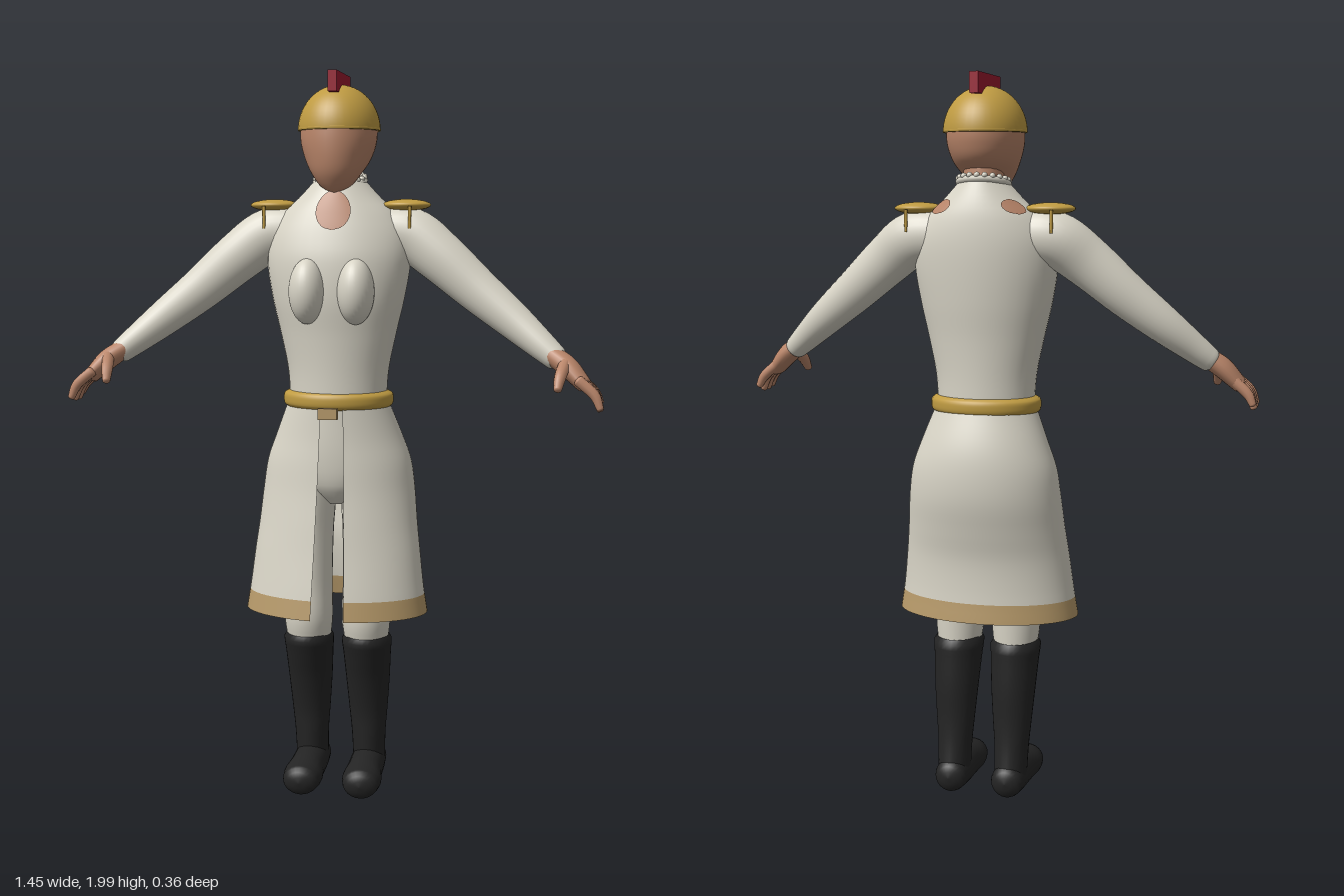
import * as THREE from 'three';

const mat = (name, color, side = THREE.DoubleSide) => {
  const m = new THREE.MeshStandardMaterial({ color, side });
  m.name = name;
  return m;
};

// Skin a list of point rings; each ring is an array of Vector3
function skin(rings, closed) {
  const n = rings[0].length, index = [];
  for (let i = 0; i < rings.length - 1; i++) {
    for (let j = 0; j < (closed ? n : n - 1); j++) {
      const a = i * n + j, b = i * n + (j + 1) % n;
      index.push(a, b, b + n, a, b + n, a + n);
    }
  }
  const geo = new THREE.BufferGeometry().setFromPoints(rings.flat());
  geo.setIndex(index);
  geo.computeVertexNormals();
  return geo;
}

// Smoothly read a profile of rows [y, halfWidth, frontZ, backZ] at height y
function profile(rows, y) {
  let i = 0;
  while (i < rows.length - 2 && y > rows[i + 1][0]) i++;
  const p = rows[i], q = rows[i + 1], h = q[0] - p[0], t = (y - p[0]) / h;
  const slope = (k, c) => {
    const a = rows[Math.max(k - 1, 0)], b = rows[Math.min(k + 1, rows.length - 1)];
    return (b[c] - a[c]) / (b[0] - a[0]) * h;
  };
  return [1, 2, 3].map(c =>
    p[c] * (2 * t ** 3 - 3 * t * t + 1) + q[c] * (3 * t * t - 2 * t ** 3) +
    slope(i, c) * (t ** 3 - 2 * t * t + t) + slope(i + 1, c) * (t ** 3 - t * t));
}

// Stack elliptical rings from y0 to y1; arc(y, halfWidth) may limit the angles
function loft(rows, { y0 = rows[0][0], y1 = rows[rows.length - 1][0], steps = 28, n = 40, cx = 0, arc, grow = 0 } = {}) {
  const rings = [];
  for (let i = 0; i <= steps; i++) {
    const y = y0 + (y1 - y0) * i / steps;
    const [rx, f, b] = profile(rows, y);
    const [a0, a1] = arc ? arc(y, rx) : [0, Math.PI * 2];
    rings.push(Array.from({ length: arc ? n + 1 : n }, (_, j) => {
      const a = a0 + (a1 - a0) * j / n;
      return new THREE.Vector3(cx + (rx + grow) * Math.sin(a), y, (f + b) / 2 + ((f - b) / 2 + grow) * Math.cos(a));
    }));
  }
  return skin(rings, !arc);
}

// Rounded limb through rows [x, y, z, radiusA, radiusB]; radiusB lies along ref
function limb(rows, ref, steps = 20, n = 20) {
  const path = new THREE.CatmullRomCurve3(rows.map(r => new THREE.Vector3(r[0], r[1], r[2])), false, 'catmullrom');
  const size = new THREE.CatmullRomCurve3(rows.map(r => new THREE.Vector3(r[3], r[4], 0)), false, 'catmullrom');
  const rings = [];
  const ring = (t, k, push) => {
    const T = path.getTangent(t), c = path.getPoint(t), s = size.getPoint(t);
    const U = new THREE.Vector3().crossVectors(T, ref).normalize();
    const V = new THREE.Vector3().crossVectors(U, T);
    c.addScaledVector(T, push * Math.min(s.x, s.y));
    rings.push(Array.from({ length: n }, (_, j) => {
      const a = j / n * Math.PI * 2;
      return c.clone().addScaledVector(U, s.x * k * Math.sin(a)).addScaledVector(V, s.y * k * Math.cos(a));
    }));
  };
  for (const a of [0, 0.4, 0.8, 1.2]) ring(0, Math.sin(a), -0.6 * Math.cos(a));
  for (let i = 0; i <= steps; i++) ring(i / steps, 1, 0);
  for (const a of [1.2, 0.8, 0.4, 0]) ring(1, Math.sin(a), 0.6 * Math.cos(a));
  return skin(rings, true);
}

export function createModel() {
  const model = new THREE.Group();
  model.name = 'uniformedFigure';
  const white = mat('coatWhite', 0xd8d4c6), skinTone = mat('skin', 0xb98569), gold = mat('gold', 0xbf9b42);
  const tan = mat('trimTan', 0xb79a6a), black = mat('bootBlack', 0x242424), red = mat('crestRed', 0x9c1a2f);
  const X = new THREE.Vector3(1, 0, 0), Y = new THREE.Vector3(0, 1, 0), Z = new THREE.Vector3(0, 0, 1);
  const add = (name, geo, material, pos = [0, 0, 0], scale = [1, 1, 1]) => {
    const m = new THREE.Mesh(geo, material);
    m.name = name;
    m.position.set(...pos);
    m.scale.set(...scale);
    model.add(m);
    return m;
  };
  const ball = new THREE.SphereGeometry(1, 32, 20);

  // Coat body
  const torso = [[1.1, .134, .083, -.135], [1.2, .14, .084, -.135], [1.3, .16, .09, -.14], [1.4, .183, .1, -.15],
    [1.5, .198, .095, -.156], [1.57, .19, .078, -.156], [1.63, .155, .058, -.15], [1.67, .113, .042, -.14], [1.72, .066, .018, -.122]];
  add('coatBody', loft(torso, { steps: 36 }), white);

  // Neckline opening and bare patches behind the shoulders
  add('neckOpening', loft(torso, { y0: 1.583, y1: 1.69, steps: 20, n: 16, grow: .004, arc: (y, rx) => {
    const t = (y - 1.583) / .107;
    const a = Math.asin(Math.min(1, .068 * Math.sqrt(t) * (1 - t) ** .6 * 1.45 / rx));
    return [-a, a];
  } }), skinTone);
  for (const s of [1, -1]) {
    add('shoulderOpening', loft(torso, { y0: 1.635, y1: 1.675, steps: 10, n: 10, grow: .004, arc: y => {
      const w = .28 * Math.sqrt(Math.max(0, 1 - ((y - 1.655) / .02) ** 2)), c = Math.PI - s * .85;
      return [c - w, c + w];
    } }), skinTone);
  }

  // Collar with a small frill
  const collar = add('collar', new THREE.TorusGeometry(.067, .009, 10, 40), white, [0, 1.715, -.052]);
  collar.rotation.x = Math.PI / 2 + .2;
  for (let i = 0; i < 20; i++) {
    const a = i / 20 * Math.PI * 2, z = Math.cos(a) * .067;
    add('collarFrill', ball, white, [Math.sin(a) * .067, 1.724 - z * .2, -.052 + z], [.008, .008, .008]);
  }

  // Skirt of the coat, open at the front, with a hem band
  const skirt = [[.53, .256, .16, -.16], [.6, .245, .148, -.152], [.7, .233, .13, -.153], [.78, .223, .118, -.168],
    [.87, .214, .105, -.185], [.95, .202, .097, -.186], [1.02, .177, .09, -.175], [1.12, .138, .085, -.142]];
  const gap = (y, rx) => {
    const a = Math.asin((.03 + .016 * (1.12 - y) / .59) / rx);
    return [a, Math.PI * 2 - a];
  };
  add('coatSkirt', loft(skirt, { y0: .583, arc: gap, n: 56 }), white);
  add('skirtHem', loft(skirt, { y1: .583, arc: gap, n: 56, steps: 4 }), tan);

  // Belt and buckle
  add('belt', loft([[1.098, .138, .082, -.138], [1.106, .15, .091, -.147], [1.122, .153, .094, -.15],
    [1.138, .15, .091, -.147], [1.146, .136, .08, -.136]], { steps: 12, n: 48 }), gold);
  add('buckle', new THREE.BoxGeometry(.052, .03, .015), tan, [0, 1.097, .137]);

  // Trouser seat
  add('trouserSeat', loft([[.83, .03, .02, -.06], [.87, .1, .055, -.1], [.95, .15, .07, -.13], [1.1, .125, .07, -.125]], { steps: 14 }), white);

  // Head, neck, helmet and crest
  add('neck', limb([[0, 1.63, -.055, .05, .05], [0, 1.72, -.052, .054, .054], [0, 1.82, -.035, .06, .06]], Z), skinTone);
  add('head', loft([[1.682, .006, .04, .025], [1.695, .036, .052, -.015], [1.73, .065, .072, -.06], [1.77, .088, .081, -.122],
    [1.82, .103, .083, -.145], [1.88, .104, .078, -.148]], { steps: 24 }), skinTone);
  add('helmet', new THREE.SphereGeometry(1, 40, 16, 0, Math.PI * 2, 0, Math.PI / 2), gold, [0, 1.848, -.037], [.112, .122, .123]);
  const rim = add('helmetRim', new THREE.TorusGeometry(1, .04, 8, 40), gold, [0, 1.852, -.037], [.108, .119, .119]);
  rim.rotation.x = Math.PI / 2;
  add('crest', new THREE.BoxGeometry(.024, .055, .215), red, [0, 1.9725, -.037]);

  for (const s of [1, -1]) {
    const sided = rows => rows.map(([x, ...rest]) => [x * s, ...rest]);

    // Chest, sleeve and epaulet
    add('chest', ball, white, [.066 * s, 1.42, .082], [.05, .088, .06]);
    add('sleeve', limb(sided([[.12, 1.575, -.05, .07, .062], [.2, 1.567, -.047, .074, .064], [.28, 1.51, -.028, .069, .056],
      [.38, 1.425, -.012, .06, .051], [.48, 1.345, .012, .05, .047], [.56, 1.28, .044, .039, .039], [.597, 1.25, .06, .033, .034]]), Z, 32, 28), white);
    add('epaulet', ball, gold, [.183 * s, 1.65, -.05], [.067, .016, .06]);
    for (const z of [-.112, .012]) {
      add('epauletCord', new THREE.CylinderGeometry(.005, .004, .06, 8), gold, [.2 * s, 1.617, z]);
    }

    // Hand with fingers and thumb
    add('palm', limb(sided([[.585, 1.26, .06, .026, .03], [.63, 1.228, .078, .028, .042], [.672, 1.185, .096, .021, .046]]), Z), skinTone);
    for (let i = 0; i < 4; i++) {
      const z0 = .061 + i * .024, z1 = .055 + i * .029, drop = [.012, 0, 0, .006][i];
      add('finger', limb(sided([[.66, 1.198, z0, .015, .014], [.7, 1.163, (z0 + z1) / 2, .014, .013],
        [.716, 1.122 + drop, z1, .01, .01]]), Z, 10, 10), skinTone);
    }
    add('thumb', limb(sided([[.622, 1.238, .1, .017, .017], [.612, 1.208, .142, .016, .016], [.607, 1.178, .165, .011, .011]]), X, 10, 10), skinTone);

    // Trouser leg
    add('trouserLeg', loft([[.43, .06, .05, -.08], [.5, .068, .065, -.082], [.6, .066, .06, -.085], [.75, .068, .058, -.1],
      [.84, .073, .06, -.115], [.95, .07, .06, -.12]], { cx: .082 * s, n: 28 }), white);

    // Boot shaft and foot
    add('bootShaft', loft([[.05, .045, -.01, -.13], [.15, .048, -.005, -.112], [.22, .054, .0, -.106], [.32, .062, .024, -.106],
      [.4, .067, .052, -.102], [.45, .07, .068, -.098], [.456, .062, .06, -.09]], { cx: .083 * s, n: 28 }), black);
    add('bootFoot', limb(sided([[.082, .064, -.108, .045, .046], [.082, .064, -.05, .049, .052], [.083, .06, .02, .05, .051],
      [.084, .057, .07, .055, .046], [.085, .055, .106, .05, .042]]), Y, 20, 24), black);
  }
  return model;
}
